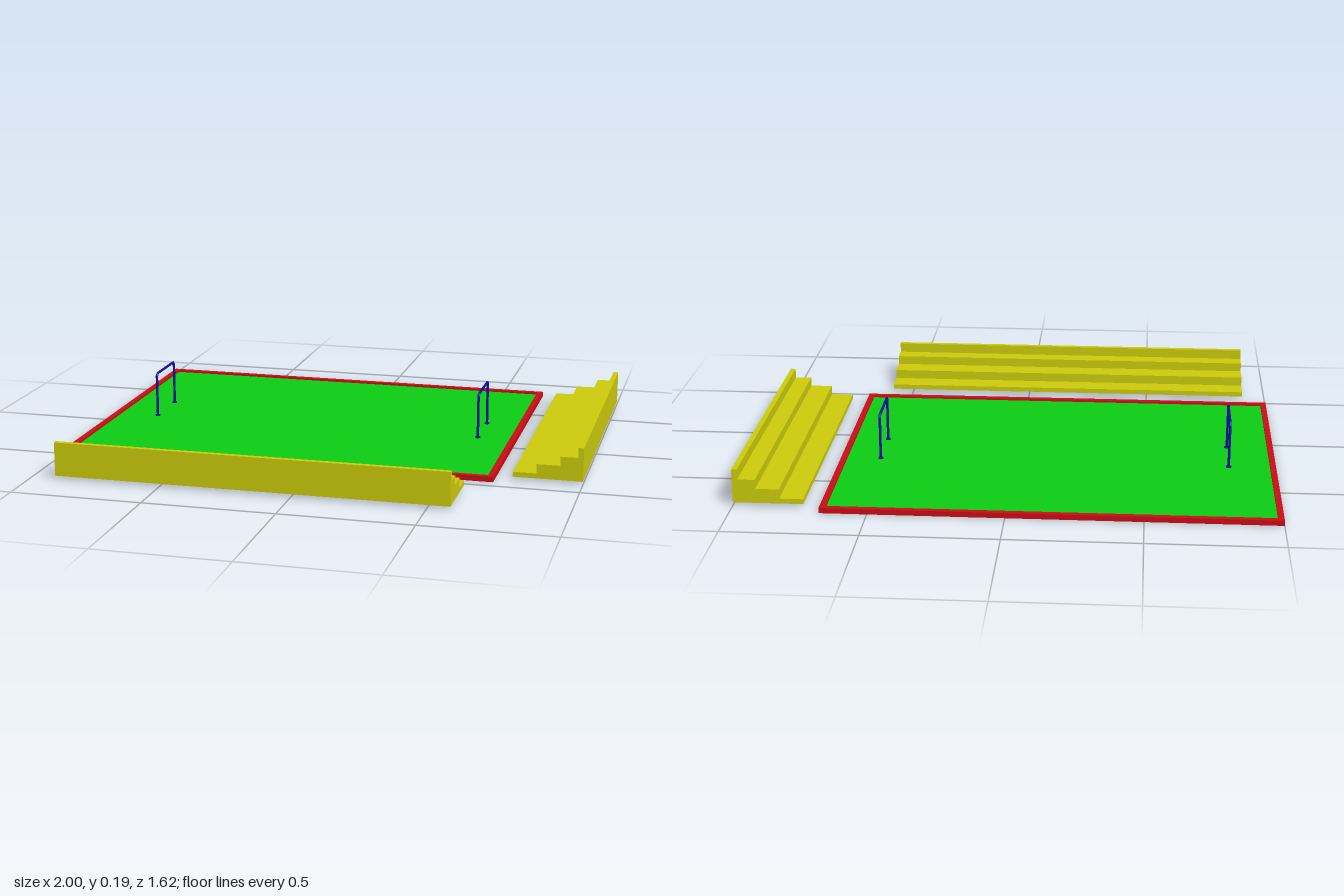
import * as THREE from 'three';

const mat = (color, side = THREE.FrontSide) => new THREE.MeshStandardMaterial({ color, side });
const red = mat(0xcc0c14), green = mat(0x0ccc14, THREE.DoubleSide);
const yellow = mat(0xcccc0c), blue = mat(0x0c0caa);

function add(parent, name, geometry, material, x = 0, y = 0, z = 0) {
  const mesh = new THREE.Mesh(geometry, material);
  mesh.name = name;
  mesh.position.set(x, y, z);
  parent.add(mesh);
  return mesh;
}

const shapeOf = (points) => new THREE.Shape(points.map(([x, y]) => new THREE.Vector2(x, y)));

function rectangle(w, d) {
  return [[-w / 2, -d / 2], [w / 2, -d / 2], [w / 2, d / 2], [-w / 2, d / 2]];
}

// Pitch with a raised border
function createField(w, d) {
  const field = new THREE.Group();
  field.name = 'field';
  const outline = shapeOf(rectangle(w, d));
  outline.holes.push(shapeOf(rectangle(w - 0.044, d - 0.044)));
  const border = new THREE.ExtrudeGeometry(outline, { depth: 0.02, bevelEnabled: false });
  add(field, 'border', border.rotateX(-Math.PI / 2), red);
  add(field, 'grass', new THREE.PlaneGeometry(w - 0.04, d - 0.04).rotateX(-Math.PI / 2), green, 0, 0.012);
  return field;
}

// Goal frame: two posts, chamfered corners, crossbar and round feet
function createGoal() {
  const goal = new THREE.Group();
  goal.name = 'goal';
  const half = 0.105, top = 0.19, cut = 0.01, r = 0.005;
  const corners = [[-half, 0.01], [-half, top - cut], [-half + cut, top],
    [half - cut, top], [half, top - cut], [half, 0.01]];
  const path = new THREE.CurvePath();
  const points = corners.map(([z, y]) => new THREE.Vector3(0, y, z));
  for (let i = 1; i < points.length; i++) path.add(new THREE.LineCurve3(points[i - 1], points[i]));
  path.curves.forEach((line) => {
    const dir = line.v2.clone().sub(line.v1);
    const bar = add(goal, 'bar', new THREE.CylinderGeometry(r, r, dir.length() + 0.003, 10), blue);
    bar.position.copy(line.v1).add(line.v2).multiplyScalar(0.5);
    bar.quaternion.setFromUnitVectors(new THREE.Vector3(0, 1, 0), dir.normalize());
  });
  for (const side of [-1, 1]) {
    add(goal, 'foot', new THREE.CylinderGeometry(0.01, 0.01, 0.006, 12), blue, 0, 0.0135, side * half);
  }
  return goal;
}

// Stepped stand, hollow below, rising towards +x and running along z
function createStand(length) {
  const stand = new THREE.Group();
  stand.name = 'stand';
  const profile = [[0, 0], [0.26, 0], [0.26, 0.128], [0.24, 0.128], [0.24, 0.09], [0.175, 0.09],
    [0.175, 0.055], [0.088, 0.055], [0.088, 0.019], [0, 0.019]];
  const shell = [[0, 0], [0.104, 0], [0.104, 0.036], [0.191, 0.036], [0.191, 0.071], [0.244, 0.071],
    [0.244, 0], ...profile.slice(1)];
  const wall = 0.02;
  const slice = (name, points, depth, z) => add(stand, name,
    new THREE.ExtrudeGeometry(shapeOf(points), { depth, bevelEnabled: false }), yellow, 0, 0, z);
  slice('steps', shell, length - 2 * wall, -length / 2 + wall);
  slice('endWall', profile, wall, -length / 2);
  slice('endWall', profile, wall, length / 2 - wall);
  return stand;
}

export function createModel() {
  const model = new THREE.Group();
  model.name = 'sportsField';

  const field = createField(1.675, 1.265);
  field.position.set(-0.1625, 0, -0.1775);
  model.add(field);

  for (const x of [-0.82, 0.523]) {
    const goal = createGoal();
    goal.position.set(x, 0, -0.175);
    model.add(goal);
  }

  const sideStand = createStand(1.165);
  sideStand.name = 'sideStand';
  sideStand.position.set(0.74, 0.012, -0.176);
  model.add(sideStand);

  const frontStand = createStand(1.49);
  frontStand.name = 'frontStand';
  frontStand.rotation.y = -Math.PI / 2;
  frontStand.position.set(-0.161, 0.012, 0.55);
  model.add(frontStand);

  return model;
}
